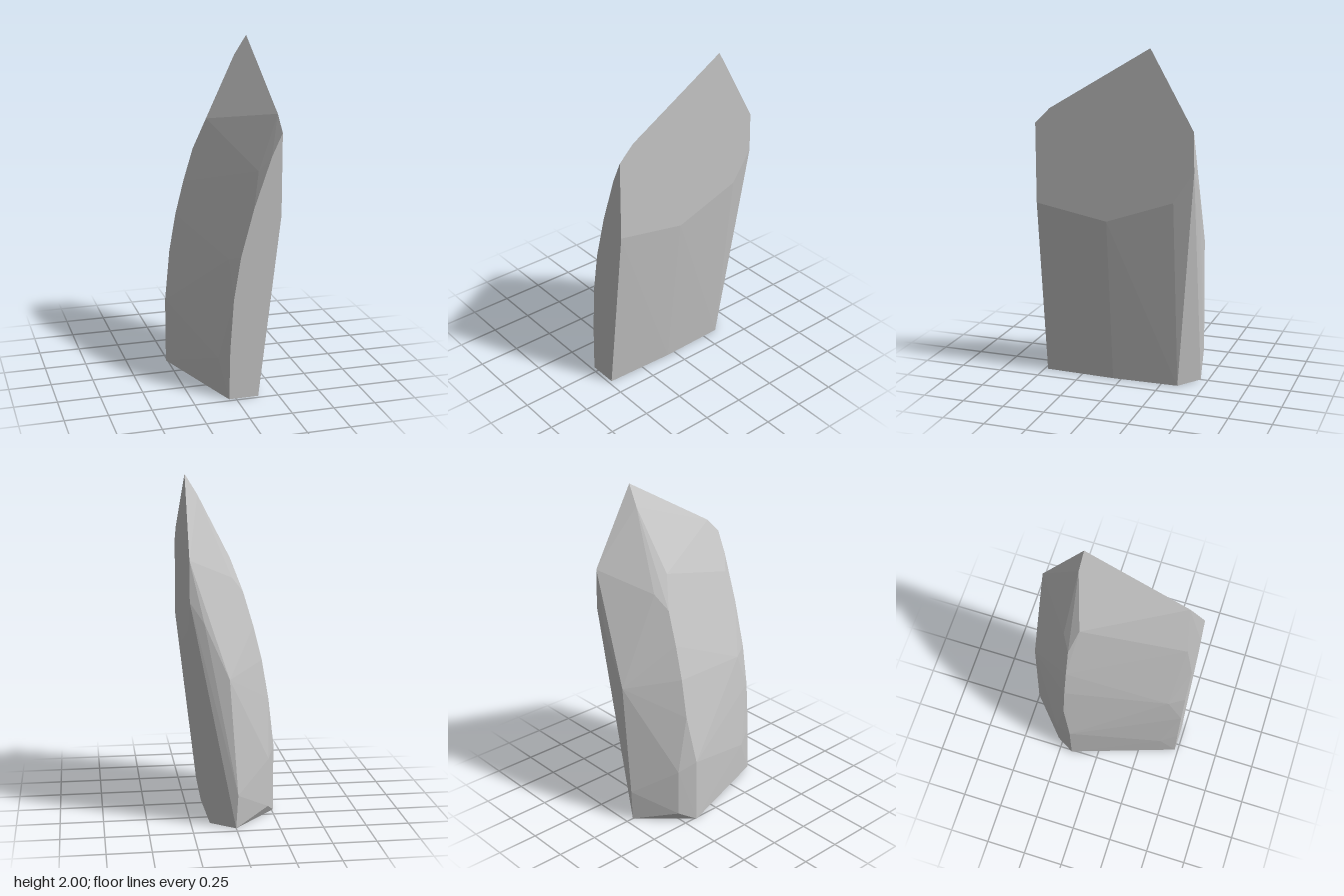
import * as THREE from 'three';
import { ConvexGeometry } from 'three/addons/geometries/ConvexGeometry.js';

export function createModel() {
  const group = new THREE.Group();
  group.name = 'rockShard';
  const stone = new THREE.MeshStandardMaterial({ color: 0xc6c6c6 });
  stone.name = 'light grey stone';

  // flat cut side with the pointed tip
  const cutSide = [[2, -0.212], [1.64, 0.39], [1.55, 0.48], [1.08, 0.48], [1, 0.05],
    [1.14, -0.35], [1.32, -0.47], [1.55, -0.465]].map(([y, z]) => [0.26, y, z]);

  // flat front end, following the curved edge
  const frontEnd = [[0.2, 1.42], [0.1, 1.13], [0.025, 0.85], [-0.015, 0.6],
    [-0.035, 0.3], [-0.04, 0], [0.135, 0]].map(([x, y]) => [x, y, 0.48]);

  // curved ridge from the tip down to the base
  const ridge = [[0.19, 1.885, -0.222], [0, 1.52, -0.165], [-0.07, 1.33, -0.215],
    [-0.13, 1.13, -0.215], [-0.18, 0.93, -0.215], [-0.22, 0.7, -0.215],
    [-0.26, 0.4, -0.172], [-0.26, 0, -0.17]];

  // chipped back
  const back = [[0.14, 1.69, -0.26], [0, 1.42, -0.26], [0.18, 1.2, -0.48], [0.04, 0.88, -0.477],
    [-0.01, 0.2, -0.47], [0, 0, -0.455], [-0.215, 0.35, -0.275], [-0.213, 0.06, -0.273]];

  // small bulges on the curved side, and the rest of the base
  const others = [[0.14, 1.33, 0.43], [-0.02, 0.82, 0.39], [-0.079, 0.22, 0.38],
    [-0.075, 0, 0.38], [0.15, 0, 0.05], [0.14, 0, -0.35]];

  const points = [...cutSide, ...frontEnd, ...ridge, ...back, ...others]
    .map((p) => new THREE.Vector3(...p));
  const shard = new THREE.Mesh(new ConvexGeometry(points), stone);
  shard.name = 'shard';
  group.add(shard);
  return group;
}
